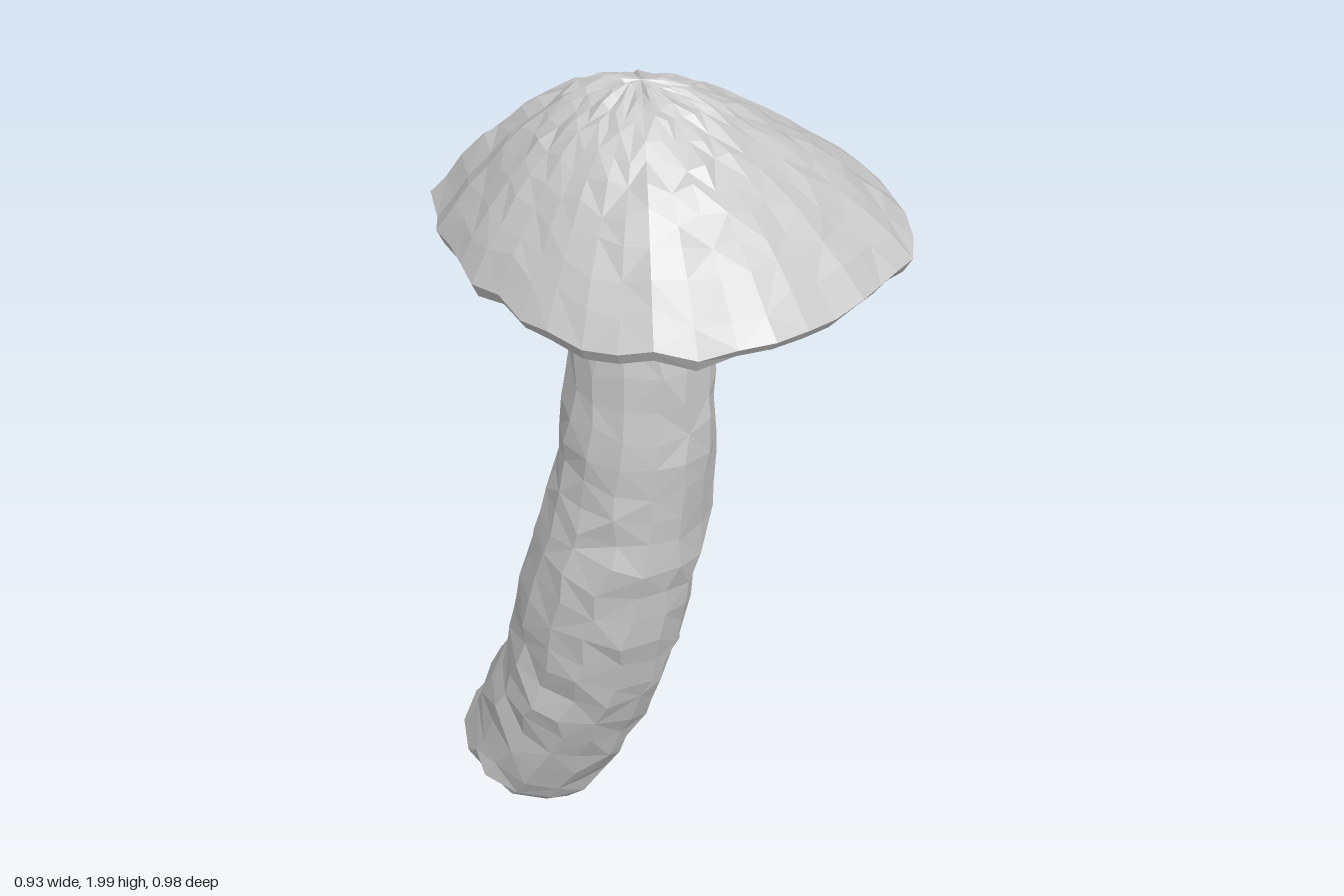
import * as THREE from 'three';

const V = (x, y, z) => new THREE.Vector3(x, y, z);

// Seeded noise in -1..1 for the hand-worn surface
let seed = 7;
function jitter(amount) {
  seed = (seed * 16807) % 2147483647;
  return amount * ((seed / 2147483647) * 2 - 1);
}

// Joins closed rings of equal length; a ring of identical points closes an end
function skin(rings, name, material) {
  const n = rings[0].length;
  const positions = rings.flat().flatMap((p) => [p.x, p.y, p.z]);
  const index = [];
  const closed = (ring) => ring[0].equals(ring[1]);
  for (let i = 0; i < rings.length - 1; i++) {
    for (let j = 0; j < n; j++) {
      const a = i * n + j, b = i * n + (j + 1) % n;
      const c = a + n, d = b + n;
      if (closed(rings[i])) index.push(a, d, c);
      else if (closed(rings[i + 1])) index.push(a, b, c);
      else if ((i * 5 + j * 3) % 7 < 4) index.push(a, b, c, b, d, c);
      else index.push(a, b, d, a, d, c);
    }
  }
  const geometry = new THREE.BufferGeometry();
  geometry.setAttribute('position', new THREE.Float32BufferAttribute(positions, 3));
  geometry.setIndex(index);
  geometry.computeVertexNormals();
  const mesh = new THREE.Mesh(geometry, material);
  mesh.name = name;
  return mesh;
}

// Curved stem: rings set square to a bent centre line, with a cut lower end
function buildStem(material) {
  const sides = 14, steps = 24;
  const path = new THREE.CatmullRomCurve3([
    V(-0.09, 1.66, 0.01), V(-0.10, 1.4, 0.015), V(-0.11, 1.2, 0.008),
    V(-0.12, 1.0, -0.015), V(-0.15, 0.8, -0.05), V(-0.165, 0.6, -0.105),
    V(-0.19, 0.4, -0.175), V(-0.23, 0.2, -0.275), V(-0.25, 0.083, -0.348),
  ]);
  const radii = [0.135, 0.15, 0.165, 0.175, 0.187, 0.187, 0.183, 0.178, 0.13];
  const rings = [];
  for (let i = 0; i <= steps; i++) {
    const t = i / steps;
    const k = Math.min(t * 8, 7.999), lo = Math.floor(k);
    const radius = THREE.MathUtils.lerp(radii[lo], radii[lo + 1], lo === 7 ? (k - 7) ** 3 : k - lo);
    const centre = path.getPoint(t), tangent = path.getTangent(t);
    const u = V(1, 0, 0).addScaledVector(tangent, -tangent.x).normalize();
    const v = tangent.clone().cross(u);
    const rough = i === steps ? 0.004 : 0.004 + 0.007 * t;
    const ring = [];
    for (let j = 0; j < sides; j++) {
      const a = (j / sides) * Math.PI * 2 + jitter(0.07);
      const r = radius + jitter(rough);
      ring.push(centre.clone()
        .addScaledVector(u, Math.cos(a) * r)
        .addScaledVector(v, Math.sin(a) * r)
        .addScaledVector(tangent, i === steps ? 0 : jitter(0.012)));
    }
    rings.push(ring);
  }
  rings.push(Array.from({ length: sides }, () => path.getPoint(1)));
  return skin(rings, 'stem', material);
}

// Lopsided cap: a dome swept from the apex to an uneven rim, then the underside
function buildCap(material) {
  const sides = 40, steps = 11;
  const rim = new THREE.CatmullRomCurve3([
    V(0.455, 1.64, -0.07), V(0.44, 1.645, 0.09), V(0.37, 1.645, 0.29),
    V(0.23, 1.65, 0.395), V(0, 1.65, 0.485), V(-0.12, 1.65, 0.475),
    V(-0.28, 1.645, 0.4), V(-0.375, 1.64, 0.28), V(-0.46, 1.64, 0),
    V(-0.46, 1.635, -0.13), V(-0.405, 1.63, -0.35), V(-0.34, 1.625, -0.435),
    V(-0.24, 1.615, -0.475), V(-0.11, 1.585, -0.485), V(0.06, 1.55, -0.49),
    V(0.2, 1.55, -0.44), V(0.385, 1.58, -0.33),
  ], true);
  const edge = Array.from({ length: sides }, (_, j) => {
    const p = rim.getPointAt(j / sides);
    return p.add(V(jitter(0.007), jitter(0.013), jitter(0.007)));
  });
  const apex = V(-0.09, 2, 0);
  const under = V(-0.09, 1.605, 0.01);
  const rings = [edge.map(() => apex.clone())];

  // Dome, fuller on the front and right than on the left and back
  for (let i = 1; i < steps; i++) {
    const f = i / steps;
    rings.push(edge.map((e) => {
      const a = Math.atan2(e.z, e.x);
      const power = 1.7 - 0.3 * Math.cos(a) + 0.13 * Math.sin(a);
      const g = Math.min(f + jitter(0.022), 0.97);
      const p = apex.clone().lerp(e, g);
      p.y = THREE.MathUtils.lerp(apex.y, e.y, g ** power) + jitter(0.008);
      return p;
    }));
  }
  rings.push(edge);

  // Thin lip turning under, then the nearly flat underside
  rings.push(edge.map((e) => {
    const p = e.clone().lerp(under, 0.035);
    p.y = e.y - 0.026 + jitter(0.006);
    return p;
  }));
  for (const f of [0.3, 0.6]) {
    const outer = rings[steps + 1];
    rings.push(outer.map((e) => e.clone().lerp(under, f).add(V(0, jitter(0.004), 0))));
  }
  rings.push(edge.map(() => under.clone()));
  return skin(rings, 'cap', material);
}

export function createModel() {
  seed = 7;
  const material = new THREE.MeshStandardMaterial({ color: 0xcccccc, flatShading: true });
  const mushroom = new THREE.Group();
  mushroom.name = 'mushroom';
  mushroom.add(buildStem(material), buildCap(material));
  return mushroom;
}
